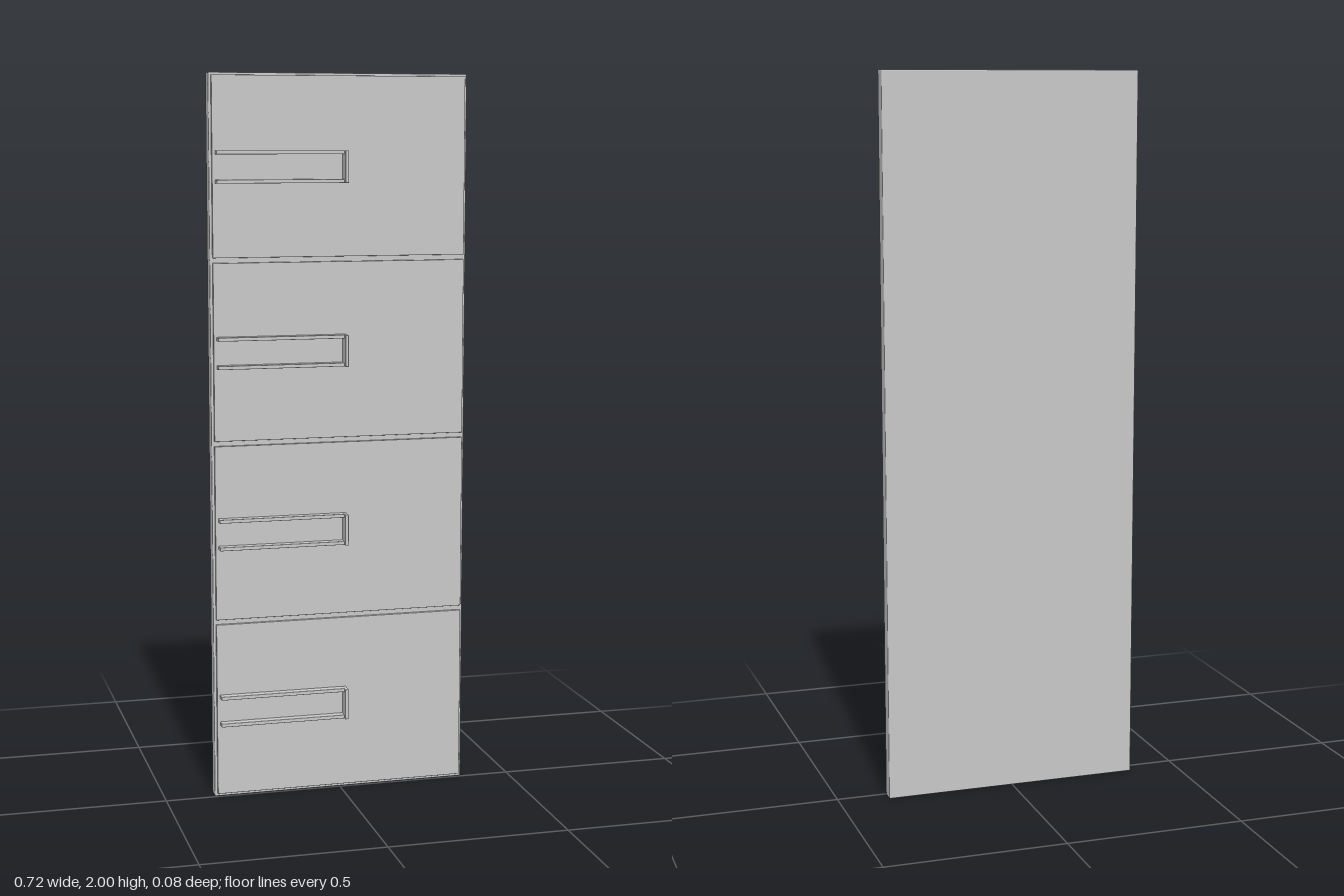
import * as THREE from 'three';
import { RoundedBoxGeometry } from 'three/addons/geometries/RoundedBoxGeometry.js';

export function createModel() {
  const model = new THREE.Group();
  model.name = 'drawerFront';
  const grey = new THREE.MeshStandardMaterial({ color: 0xc8c8c8 });
  grey.name = 'lightGrey';

  // Softened box given by its two extreme corners
  function box(name, parent, [x0, y0, z0], [x1, y1, z1], radius) {
    const geometry = new RoundedBoxGeometry(x1 - x0, y1 - y0, z1 - z0, 2, radius);
    const mesh = new THREE.Mesh(geometry, grey);
    mesh.position.set((x0 + x1) / 2, (y0 + y1) / 2, (z0 + z1) / 2);
    mesh.name = name;
    parent.add(mesh);
  }

  // Backing slab
  box('backBoard', model, [-0.361, 0, -0.042], [0.361, 2, -0.003], 0.003);

  // Four stacked panels, each with a handle of two rails and an end plate
  for (let i = 0; i < 4; i++) {
    const drawer = new THREE.Group();
    drawer.name = 'drawer' + (i + 1);
    drawer.position.y = 0.252 + i * 0.4995;
    box('panel', drawer, [-0.354, -0.243, -0.004], [0.354, 0.243, 0.005], 0.001);

    const handle = new THREE.Group();
    handle.name = 'handle';
    for (const side of [-1, 1]) {
      const y = side * 0.0385;
      box(side > 0 ? 'upperRail' : 'lowerRail', handle,
        [-0.346, y - 0.005, 0.006], [0.006, y + 0.005, 0.03], 0.001);
    }
    box('endPlate', handle, [0.005, -0.0435, 0.006], [0.015, 0.0435, 0.042], 0.002);
    drawer.add(handle);
    model.add(drawer);
  }
  return model;
}
